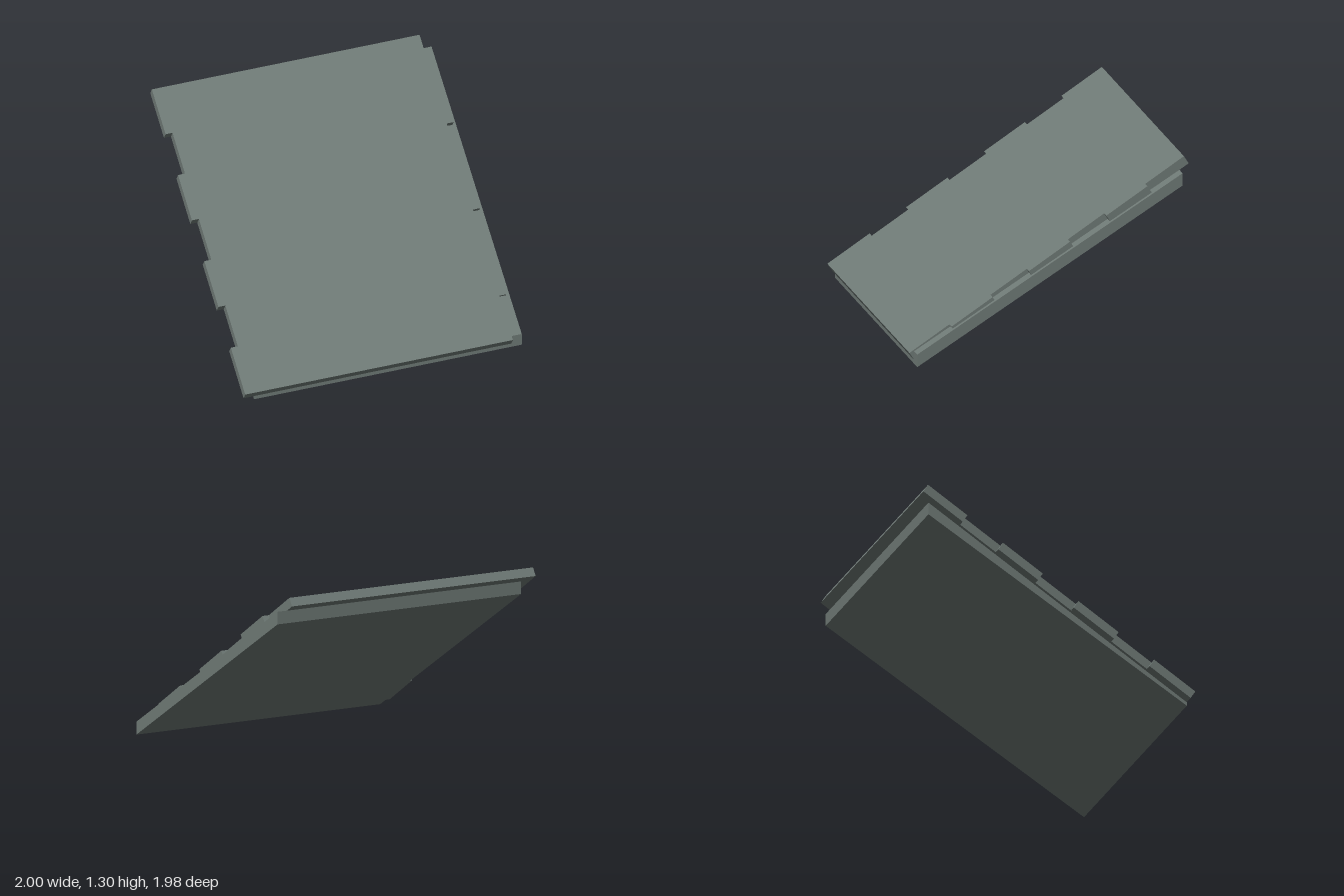
import * as THREE from 'three';

const material = new THREE.MeshStandardMaterial({ color: 0x6f7a76, flatShading: true });

function slab(name, points, depth) {
  const shape = new THREE.Shape(points.map(([x, y]) => new THREE.Vector2(x, y)));
  const geometry = new THREE.ExtrudeGeometry(shape, { depth, bevelEnabled: false });
  const mesh = new THREE.Mesh(geometry, material);
  mesh.name = name;
  return mesh;
}

export function createModel() {
  const group = new THREE.Group();
  group.name = 'slopedRoofPanel';

  // Top panel, outlined in its own plane: notches on one edge, tabs on the other
  const zFront = 0.993, zBack = -0.957, yFront = 0.08, yBack = 1.3;
  const slope = Math.atan2(yBack - yFront, zFront - zBack);
  const thickness = 0.064;
  const uphill = z => (zFront - z) / Math.cos(slope);
  const outline = [[-1, uphill(zFront)], [0.925, uphill(zFront)]];
  for (const z of [0.71, 0.16, -0.39]) { // tabs, front to back
    const a = uphill(z), b = uphill(z - 0.293);
    outline.push([0.925, a], [0.975, a], [0.975, b], [0.925, b]);
  }
  outline.push([0.925, uphill(zBack)], [-1, uphill(zBack)]);
  for (const z of [-0.67, -0.12, 0.433]) { // notches, back to front
    const a = uphill(z), b = uphill(z + 0.26);
    outline.push([-1, a], [-0.95, a], [-0.95, b], [-1, b]);
  }
  const top = slab('topPanel', outline, thickness);
  top.geometry.translate(0, 0, -thickness);
  top.rotation.x = slope - Math.PI / 2;
  top.position.set(0, yFront, zFront);
  group.add(top);

  // Lower panel, a side profile with upright ends, shifted sideways for overlap
  const base = slab('lowerPanel', [
    [-0.96, 0], [0.925, 1.117], [0.925, 1.205], [-0.96, 0.09],
  ], 1.925);
  base.rotation.y = Math.PI / 2;
  base.position.x = -0.925;
  group.add(base);

  return group;
}
